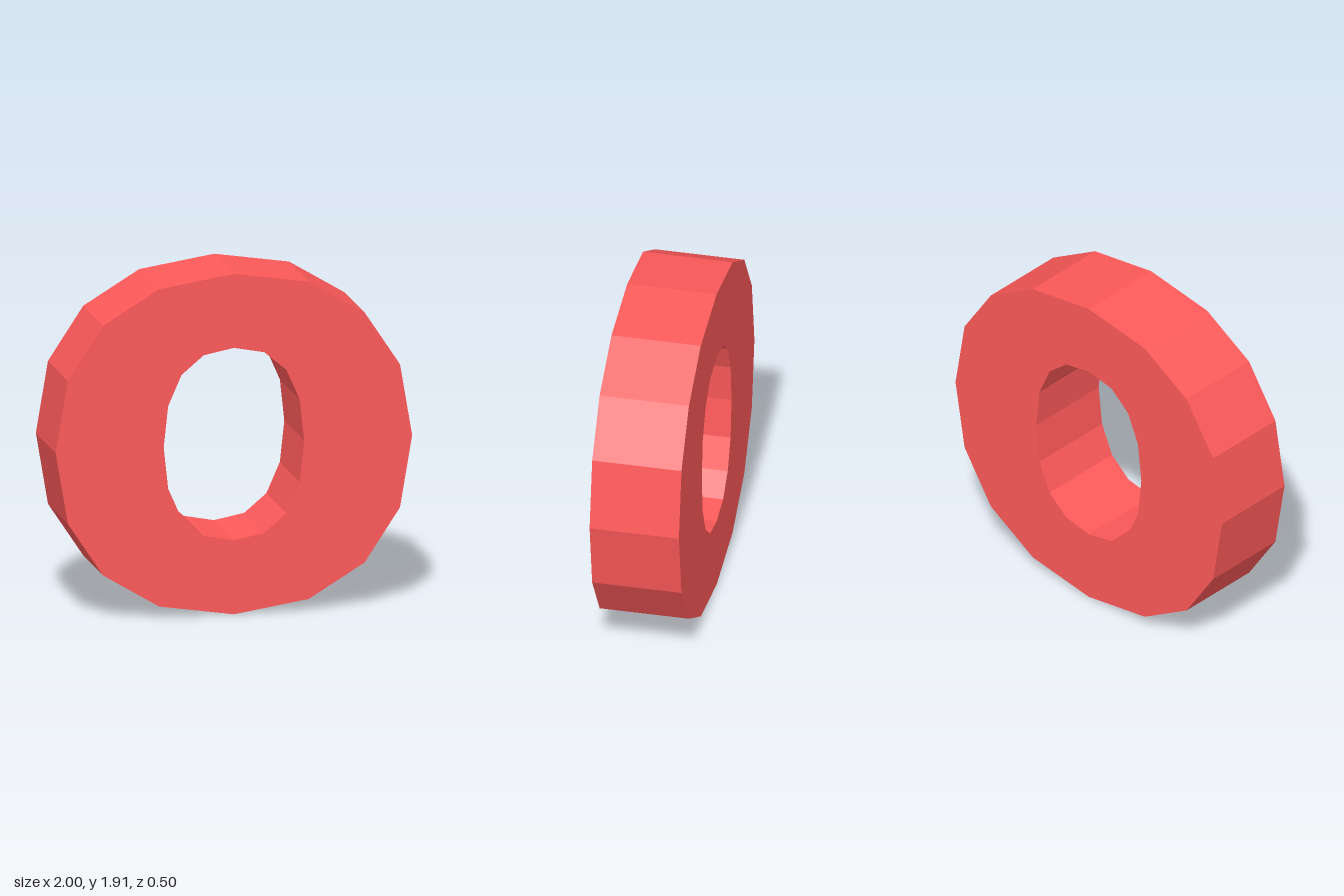
import * as THREE from 'three';

const CENTRE_Y = 0.957;
const DEPTH = 0.5;

// Mirrors a quarter outline (top to side, relative to the centre) into a closed clockwise loop
function mirroredLoop(quarter) {
  const right = [...quarter, ...quarter.slice(0, -1).reverse().map(([x, y]) => [x, -y])];
  const left = right.slice(1, -1).reverse().map(([x, y]) => [-x, y]);
  return [...right, ...left].map(([x, y]) => new THREE.Vector2(x, y + CENTRE_Y));
}

export function createModel() {
  const group = new THREE.Group();
  group.name = 'facetedRing';

  // Sixteen-sided outer rim
  const shape = new THREE.Shape(mirroredLoop([
    [0, 0.957], [0.42, 0.892], [0.734, 0.702], [0.932, 0.402], [1, 0],
  ]));
  // Narrower oval opening, wound the other way so its walls face inwards
  shape.holes.push(new THREE.Path(mirroredLoop([
    [0, 0.541], [0.17, 0.508], [0.294, 0.403], [0.369, 0.232], [0.394, 0],
  ]).reverse()));

  const geometry = new THREE.ExtrudeGeometry(shape, { depth: DEPTH, bevelEnabled: false });
  geometry.translate(0, 0, -DEPTH / 2);

  const ring = new THREE.Mesh(
    geometry,
    new THREE.MeshStandardMaterial({ color: 0xff5a5a, flatShading: true })
  );
  ring.name = 'ring';
  group.add(ring);
  return group;
}
